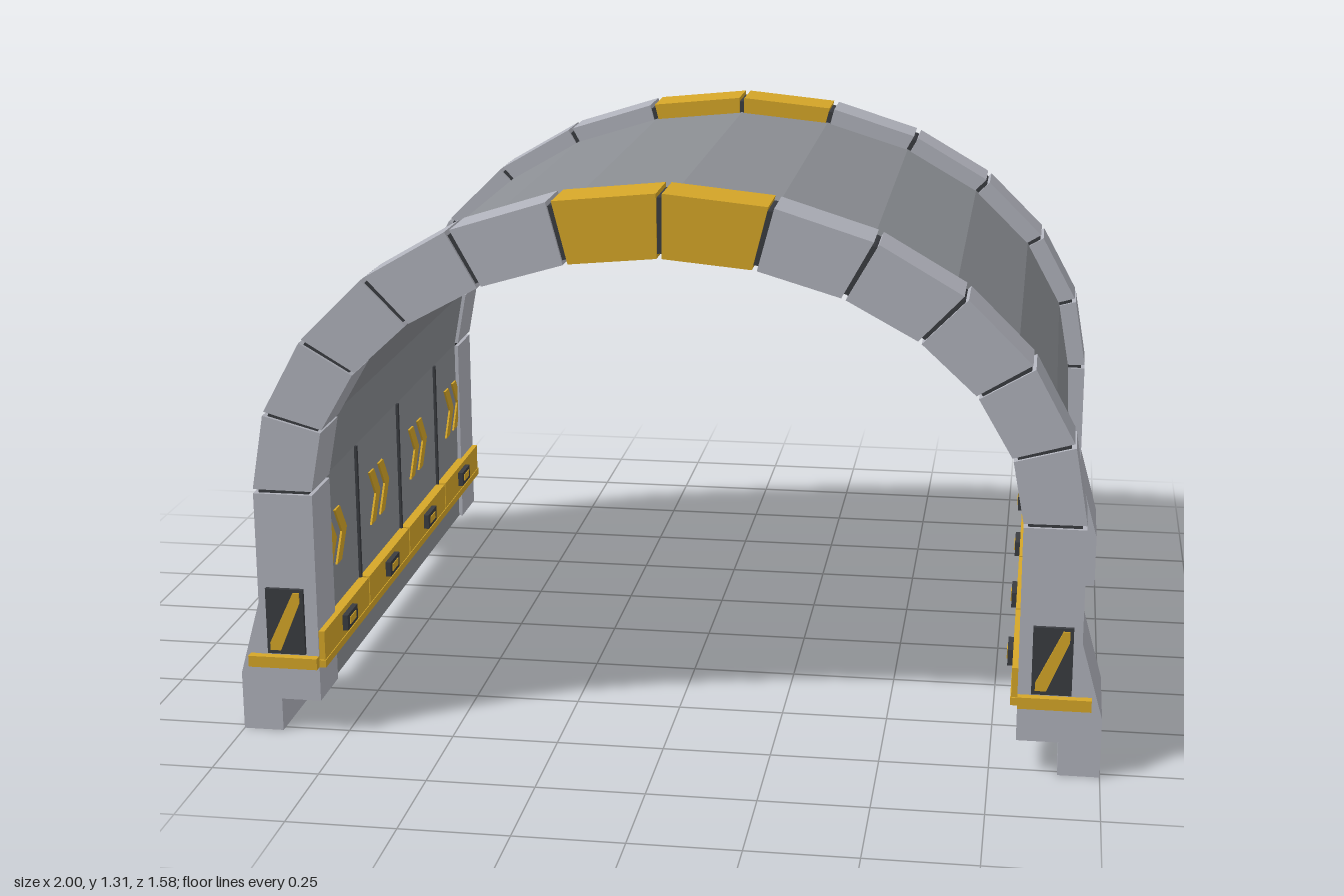
import * as THREE from 'three';

const mat = (name, color) => {
  const m = new THREE.MeshStandardMaterial({ color });
  m.name = name;
  return m;
};

// Half-ellipse point above the spring line
const SPRING = 0.59, BASE = 0.08;
const STEP = Math.PI / 12;
const arc = (rx, ry, a) => [rx * Math.cos(a), SPRING + ry * Math.sin(a)];

const toShape = (pts) => new THREE.Shape(pts.map(([x, y]) => new THREE.Vector2(x, y)));

// Prism with an xy outline running from z0 to z1
function prism(pts, z0, z1) {
  const g = new THREE.ExtrudeGeometry(toShape(pts), { depth: z1 - z0, bevelEnabled: false });
  return g.translate(0, 0, z0);
}

// Closed outline of a complete arch with straight legs
function archOutline(rxo, ryo, rxi, ryi, base) {
  const outer = [[rxo, base]], inner = [[rxi, base]];
  for (let i = 0; i <= 12; i++) {
    outer.push(arc(rxo, ryo, i * STEP));
    inner.push(arc(rxi, ryi, i * STEP));
  }
  outer.push([-rxo, base]);
  inner.push([-rxi, base]);
  return [...outer, ...inner.reverse()];
}

export function createModel() {
  const stone = mat('light concrete', 0xb0b2bb);
  const wall = mat('grey lining', 0x8b8e93);
  const gold = mat('safety yellow', 0xd6a728);
  const dark = mat('dark metal', 0x3a3c41);
  const glow = mat('warm lamp', 0xdcc48a);

  const root = new THREE.Group();
  root.name = 'tunnel';
  const add = (parent, name, geo, material) => {
    const m = new THREE.Mesh(geo, material);
    m.name = name;
    parent.add(m);
    return m;
  };
  const box = (parent, name, material, w, h, d, x, y, z) =>
    add(parent, name, new THREE.BoxGeometry(w, h, d).translate(x, y, z), material);

  // Vaulted lining
  add(root, 'vault', prism(archOutline(0.905, 0.68, 0.82, 0.585, BASE), -0.64, 0.64), wall);

  // Two portals, the rear one turned half round
  for (const turn of [0, Math.PI]) {
    const portal = new THREE.Group();
    portal.name = turn ? 'rearPortal' : 'frontPortal';
    portal.rotation.y = turn;
    root.add(portal);

    add(portal, 'portalJoints', prism(archOutline(0.94, 0.71, 0.82, 0.585, 0.09), 0.638, 0.761), dark);

    // Arch blocks separated by narrow joints
    const gap = 0.007;
    for (let i = 0; i < 12; i++) {
      const a = i * STEP + gap, b = (i + 1) * STEP - gap;
      const pts = [arc(0.95, 0.72, a), arc(0.95, 0.72, b), arc(0.81, 0.575, b), arc(0.81, 0.575, a)];
      const key = i === 5 || i === 6;
      add(portal, key ? 'keyBlock' : 'archBlock', prism(pts, 0.63, 0.77), key ? gold : stone);
    }

    for (const s of [-1, 1]) {
      box(portal, 'column', stone, 0.14, 0.505, 0.14, s * 0.88, BASE + 0.2525, 0.7);

      // Sloped buttress with a foot
      const profile = [[0.905, 0], [1, 0], [1, 0.14], [0.9, 0.5], [0.823, 0.5], [0.823, BASE], [0.905, BASE]];
      add(portal, 'buttress', prism(profile.map(([x, y]) => [s * x, y]), 0.51, 0.769), stone);

      // Warning sign and bumper bar on the column
      box(portal, 'signPlate', dark, 0.09, 0.16, 0.012, s * 0.885, 0.277, 0.774);
      const x = s * 0.885;
      add(portal, 'signStripe', prism([
        [x - 0.037, 0.207], [x - 0.012, 0.207], [x + 0.037, 0.325], [x + 0.037, 0.35], [x + 0.022, 0.35], [x - 0.037, 0.225],
      ], 0.779, 0.784), gold);
      box(portal, 'bumperBar', gold, 0.165, 0.027, 0.03, s * 0.8925, 0.178, 0.775);
    }
  }

  // Chevron outline, its tip toward negative first axis
  const chevron = [[-0.045, 0], [0.005, 0.068], [0.045, 0.068], [-0.005, 0], [0.045, -0.068], [0.005, -0.068]];

  // Side wall fittings
  for (const s of [-1, 1]) {
    const side = new THREE.Group();
    side.name = s > 0 ? 'leftWallFittings' : 'rightWallFittings';
    root.add(side);

    box(side, 'railBacking', dark, 0.02, 0.075, 1.53, s * 0.812, 0.21, 0);
    box(side, 'railLip', gold, 0.03, 0.018, 1.54, s * 0.809, 0.173, 0);

    for (let i = 0; i < 4; i++) {
      const z = (i - 1.5) * 0.385;
      box(side, 'guardRail', gold, 0.025, 0.07, 0.377, s * 0.8085, 0.217, z);
      box(side, 'railLamp', dark, 0.014, 0.038, 0.085, s * 0.79, 0.219, z);
      box(side, 'railLampLens', gold, 0.004, 0.018, 0.05, s * 0.783, 0.219, z);

      // Painted pair of arrows
      for (const dz of [-0.042, 0.042]) {
        const g = prism(chevron, -0.003, 0.003).rotateY(-Math.PI / 2);
        add(side, 'chevron', g.translate(s * 0.818, 0.42, z + dz), gold);
      }
      if (i > 0) box(side, 'wallSeam', dark, 0.008, 0.34, 0.012, s * 0.818, 0.42, z - 0.1925);
    }
  }

  // Ceiling lamps
  for (let i = 0; i < 4; i++) {
    const z = (i - 1.5) * 0.38;
    box(root, 'ceilingLampFrame', dark, 0.15, 0.03, 0.12, 0, 1.168, z);
    box(root, 'ceilingLampLens', glow, 0.11, 0.006, 0.08, 0, 1.152, z);
  }

  return root;
}
